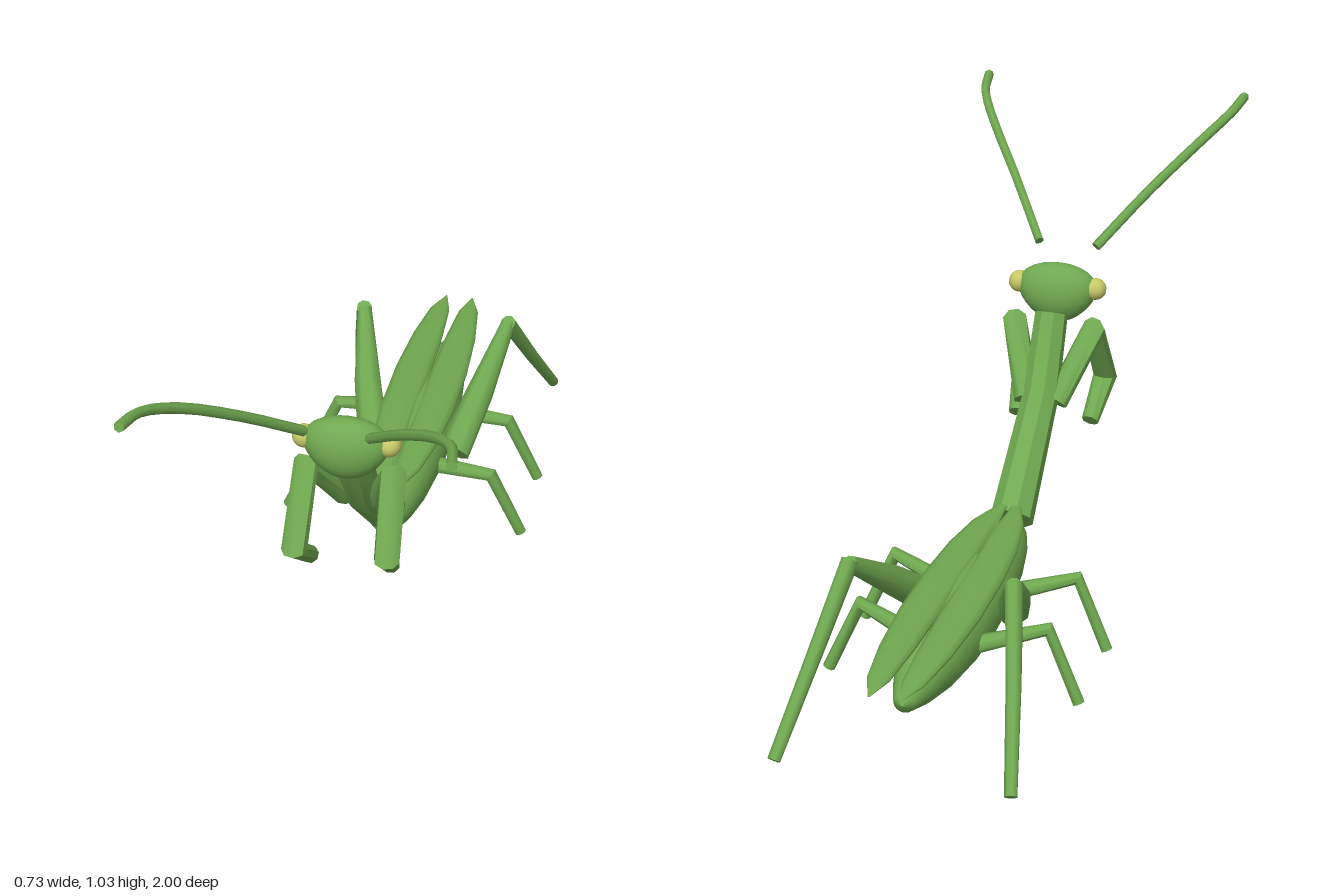
import * as THREE from 'three';
import { toCreasedNormals } from 'three/addons/utils/BufferGeometryUtils.js';

const green = new THREE.MeshStandardMaterial({ color: 0x70a850 });
green.name = 'leafGreen';
const yellow = new THREE.MeshStandardMaterial({ color: 0xc6c868 });
yellow.name = 'paleYellow';

const V = (p) => new THREE.Vector3(...p);

// Capped tube through points with one radius per point; flat squashes the cross-section
function loft(points, radii, { sides = 8, flat = 1, across = null, crease = 0.9 } = {}) {
  const pts = points.map(V);
  const last = pts.length - 1;
  const dir = (i) => pts[i + 1].clone().sub(pts[i]).normalize();
  const normal = across ? V(across) : dir(0).cross(dir(1)).normalize();
  const pos = [];
  const index = [];
  pts.forEach((p, i) => {
    const t = new THREE.Vector3();
    if (i > 0) t.add(dir(i - 1));
    if (i < last) t.add(dir(i));
    t.normalize();
    const n = normal.clone().addScaledVector(t, -normal.dot(t)).normalize();
    const up = t.clone().cross(n);
    for (let j = 0; j < sides; j++) {
      const a = ((j + 0.5) / sides) * Math.PI * 2;
      const v = p.clone()
        .addScaledVector(n, Math.cos(a) * radii[i])
        .addScaledVector(up, Math.sin(a) * radii[i] * flat);
      pos.push(v.x, v.y, v.z);
    }
  });
  const start = pos.length / 3;
  pos.push(...pts[0].toArray(), ...pts[last].toArray());
  for (let j = 0; j < sides; j++) {
    const k = (j + 1) % sides;
    for (let i = 0; i < last; i++) {
      const a = i * sides + j, b = i * sides + k;
      index.push(a, b, a + sides, b, b + sides, a + sides);
    }
    index.push(start, k, j, start + 1, last * sides + j, last * sides + k);
  }
  const geo = new THREE.BufferGeometry();
  geo.setAttribute('position', new THREE.Float32BufferAttribute(pos, 3));
  geo.setIndex(index);
  return toCreasedNormals(geo, crease);
}

export function createModel() {
  const model = new THREE.Group();
  model.name = 'mantis';
  const add = (name, geo, mat = green) => {
    const mesh = new THREE.Mesh(geo, mat);
    mesh.name = name;
    model.add(mesh);
    return mesh;
  };

  // Abdomen: profile of [radius, distance back]
  const profile = [[0, -0.025], [0.02, -0.022], [0.04, 0.005], [0.06, 0.07], [0.078, 0.17],
    [0.09, 0.31], [0.093, 0.43], [0.088, 0.56], [0.074, 0.68], [0.05, 0.79], [0.025, 0.865], [0, 0.88]];
  const abdomen = new THREE.LatheGeometry(profile.map(([r, y]) => new THREE.Vector2(r, y)), 24);
  abdomen.rotateX(-Math.PI / 2).translate(0, 0.165, 0);
  add('abdomen', abdomen);

  // Long bent thorax
  add('thorax', loft([[0, 0.205, 0], [0, 0.43, 0.265], [0, 0.612, 0.362]], [0.054, 0.046, 0.042],
    { across: [1, 0, 0], crease: 0.7 }));

  // Head: sphere narrowed towards the mouth
  const head = new THREE.SphereGeometry(1, 24, 16);
  const hp = head.attributes.position;
  for (let i = 0; i < hp.count; i++) {
    const y = hp.getY(i);
    hp.setX(i, hp.getX(i) * (1 + 0.22 * y));
  }
  head.scale(0.1, 0.078, 0.057);
  head.computeVertexNormals();
  add('head', head).position.set(0, 0.65, 0.418);

  // Paired parts, mirrored in x
  for (const s of [1, -1]) {
    const side = s > 0 ? 'left' : 'right';
    const m = (pts) => pts.map(([x, y, z]) => [x * s, y, z]);

    add(side + 'Eye', new THREE.SphereGeometry(0.028, 16, 12), yellow).position.set(0.1 * s, 0.669, 0.418);

    const feeler = new THREE.CatmullRomCurve3(m([[0.075, 0.745, 0.515], [0.18, 0.86, 0.66],
      [0.28, 0.955, 0.8], [0.335, 1.002, 0.905], [0.352, 1.02, 0.998]]).map(V));
    add(side + 'Antenna', loft(feeler.getPoints(12).map((p) => p.toArray()), Array(13).fill(0.0125),
      { sides: 6, across: [1, 0, 0], crease: 1.1 }));

    // Folded wing case, pointed at the rear
    const wing = [[0.017, 0.02, 0.012], [0.032, 0.12, 0.033], [0.042, 0.25, 0.044], [0.047, 0.4, 0.049],
      [0.048, 0.6, 0.049], [0.045, 0.78, 0.041], [0.04, 0.92, 0.027], [0.036, 0.998, 0.002]];
    add(side + 'Wing', loft(m(wing.map(([x, z]) => [x, 0.249, -z])), wing.map((w) => w[2]),
      { sides: 12, flat: 0.32, across: [1, 0, 0], crease: 1.1 }));

    // Grasping foreleg
    add(side + 'Foreleg', loft(m([[0.04, 0.415, 0.26], [0.104, 0.57, 0.39], [0.11, 0.4, 0.492],
      [0.098, 0.315, 0.387]]), [0.03, 0.032, 0.031, 0.022], { crease: 0.8 }));

    // Two walking legs
    [['Front', 0], ['Middle', -0.263]].forEach(([label, dz]) => {
      add(side + label + 'WalkingLeg', loft(m([[0.06, 0.155, -0.295 + dz], [0.23, 0.187, -0.226 + dz],
        [0.308, 0.012, -0.242 + dz]]), [0.023, 0.018, 0.015]));
    });

    // Jumping hind leg: thick thigh and slender shin
    add(side + 'HindThigh', loft(m([[0.107, 0.156, -0.36], [0.15, 0.262, -0.49], [0.194, 0.382, -0.658]]),
      [0.042, 0.036, 0.019], { across: [1, 0, 0] }));
    add(side + 'HindShin', loft(m([[0.194, 0.388, -0.652], [0.235, 0.21, -0.8], [0.276, 0.028, -0.965]]),
      [0.021, 0.018, 0.015], { across: [1, 0, 0] }));
  }
  return model;
}
